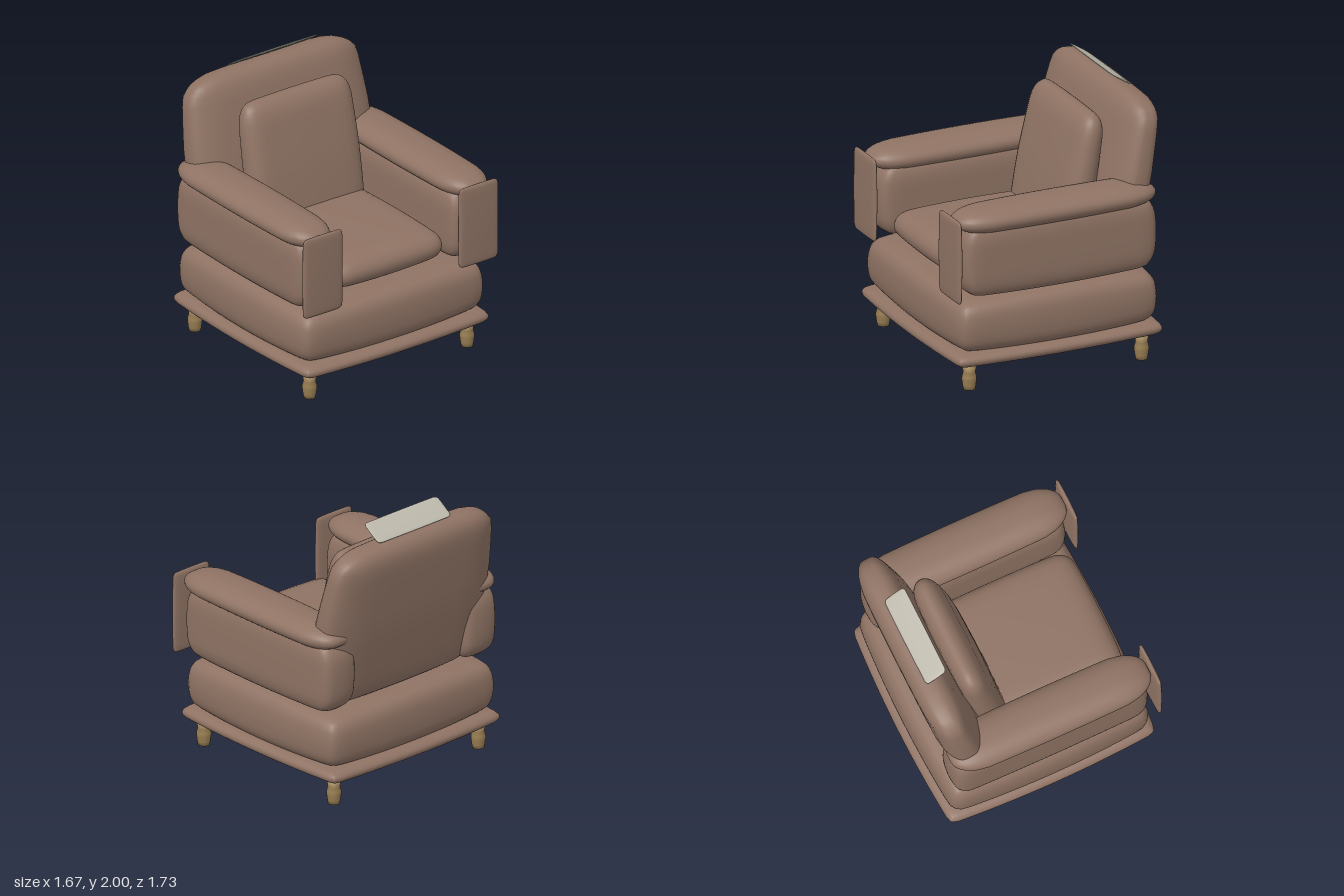
import * as THREE from 'three';
import { mergeVertices } from 'three/addons/utils/BufferGeometryUtils.js';

// Upholstered block: size and edge radii per axis; pinch pulls each face in
// towards its rim so that its middle bulges; deform is an optional extra rule.
function pillow(size, radii, pinch = [0, 0, 0], deform = null) {
  const geo = new THREE.BoxGeometry(2, 2, 2, 16, 16, 16);
  geo.deleteAttribute('uv');
  geo.deleteAttribute('normal');
  const half = size.map((s) => s / 2);
  const pos = geo.attributes.position;
  const v = new THREE.Vector3();
  for (let i = 0; i < pos.count; i++) {
    // crowd the grid lines towards the rims
    const p = [pos.getX(i), pos.getY(i), pos.getZ(i)]
      .map((t, k) => Math.sin((t * Math.PI) / 2) * half[k]);
    const inner = p.map((c, k) => THREE.MathUtils.clamp(c, radii[k] - half[k], half[k] - radii[k]));
    v.set(...p.map((c, k) => (c - inner[k]) / radii[k])).normalize();
    const q = inner.map((c, k) => c + v.getComponent(k) * radii[k]);
    const n = q.map((c, k) => (c / half[k]) ** 2);
    const sum = n[0] + n[1] + n[2];
    v.set(...q.map((c, k) => c * (1 - (pinch[k] * (sum - n[k])) / 2)));
    if (deform) deform(v);
    pos.setXYZ(i, v.x, v.y, v.z);
  }
  const merged = mergeVertices(geo, 1e-4);
  merged.computeVertexNormals();
  return merged;
}

export function createModel() {
  const group = new THREE.Group();
  const paint = (name, color) => {
    const m = new THREE.MeshStandardMaterial({ color });
    m.name = name;
    return m;
  };
  const leather = paint('brown leather', 0x8f7364);
  const wood = paint('wood', 0x967c52);
  const cloth = paint('pale cloth', 0xbebaad);

  const add = (name, geo, mat, x, y, z, tilt = 0) => {
    const mesh = new THREE.Mesh(geo, mat);
    mesh.name = name;
    mesh.position.set(x, y, z);
    mesh.rotation.z = tilt;
    group.add(mesh);
    return mesh;
  };

  // Turned legs
  const legGeo = new THREE.LatheGeometry(
    [[0, 0], [0.043, 0], [0.047, 0.03], [0.053, 0.075], [0.051, 0.095], [0.043, 0.125], [0.05, 0.168], [0, 0.168]]
      .map(([r, y]) => new THREE.Vector2(r, y)), 16);
  for (const x of [-0.655, 0.67]) {
    for (const z of [-0.68, 0.68]) add('leg', legGeo, wood, x, 0, z);
  }

  // Plinth and base cushion
  add('plinth', pillow([1.64, 0.115, 1.65], [0.05, 0.05, 0.05], [0.08, 0.1, 0.08]),
    leather, 0.01, 0.235, 0);
  add('baseCushion', pillow([1.585, 0.45, 1.625], [0.09, 0.11, 0.09], [0.08, 0.2, 0.08]),
    leather, 0.01, 0.465, 0);

  // Seat cushion
  add('seatCushion', pillow([1.19, 0.25, 0.985], [0.13, 0.122, 0.12], [0.05, 0.2, 0.05]),
    leather, 0.145, 0.84, 0);

  // Reclined backrest, thinner towards the top
  add('backrest', pillow([0.325, 1.25, 1.53], [0.12, 0.14, 0.27], [0.12, 0.05, 0.07], (v) => {
    if (v.y > 0) v.x *= 1 - 0.25 * v.y;
    if (v.y > 0.1) v.z *= 1 - 0.08 * (v.y - 0.1);
  }), leather, -0.602, 1.28, 0, 0.21);

  // Loose cushion leaning on the backrest, thinner towards the top
  add('backCushion', pillow([0.25, 1.04, 0.95], [0.12, 0.15, 0.11], [0.2, 0.03, 0.06], (v) => {
    if (v.y > 0) v.x *= 1 - 0.25 * v.y;
  }), leather, -0.335, 1.242, 0, 0.195);

  // Arms: padded side, overhanging top pad and front panel
  const armGeo = pillow([1.5, 0.56, 0.32], [0.09, 0.14, 0.06], [0.08, 0.13, 0.05]);
  const padGeo = pillow([1.53, 0.2, 0.375], [0.24, 0.095, 0.15], [0.02, 0.25, 0.12]);
  const panelGeo = pillow([0.05, 0.61, 0.34], [0.024, 0.04, 0.04], [0.5, 0.01, 0.01]);
  for (const side of [-1, 1]) {
    add('armSide', armGeo, leather, 0.01, 0.965, side * 0.662);
    add('armPad', padGeo, leather, 0.025, 1.25, side * 0.679);
    add('armFrontPanel', panelGeo, leather, 0.81, 0.995, side * 0.672);
  }

  // Head cloth flap on top of the backrest
  add('headCloth', pillow([0.185, 0.018, 0.69], [0.025, 0.008, 0.03], [0.03, 0.5, 0.02]),
    cloth, -0.67, 1.945, 0, 0.585);

  return group;
}
